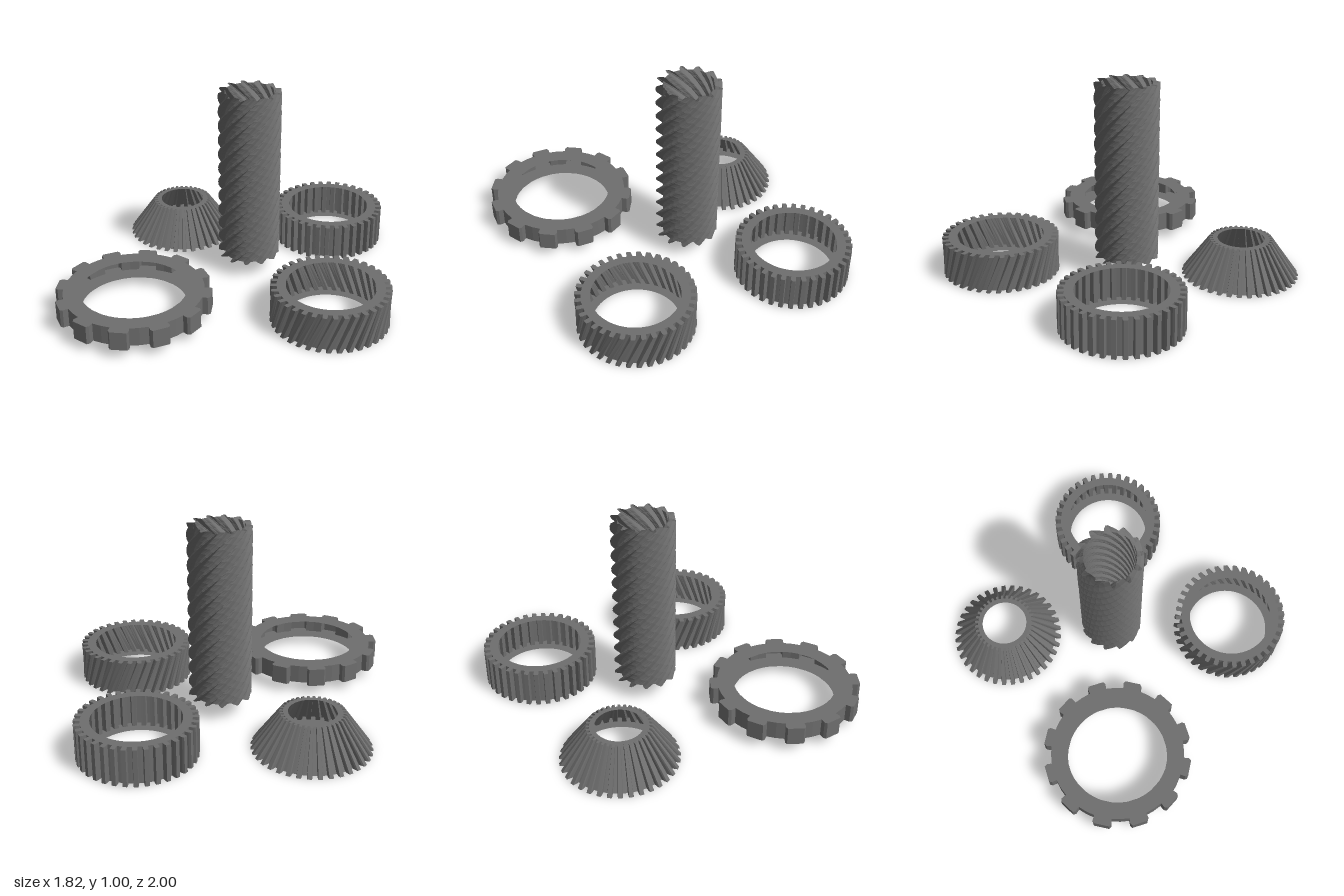
import * as THREE from 'three';

const material = new THREE.MeshStandardMaterial({ color: 0x6e6e6e, flatShading: true, side: THREE.DoubleSide });

// Outline of a toothed wheel as [radius, angle], running counter-clockwise seen from above.
// A tooth is a list of [fraction of the pitch from its middle, radius].
function outline(teeth, tooth) {
  const pitch = (2 * Math.PI) / teeth, points = [];
  for (let k = 0; k < teeth; k++)
    for (const [f, r] of tooth) points.push([r, (k + 0.5 + f) * pitch]);
  return points;
}

// Valley, flank, chamfered tip and flank of one gear tooth
const gearTooth = (root, mid, tip) => [
  [-0.5, root], [-0.25, root], [-0.25, mid], [-0.2, tip],
  [0.2, tip], [0.25, mid], [0.25, root],
];

// Joins the outline through levels { y, scale, twist }; an inner radius adds flat rims.
// The inside stays open, as a thin shell.
function toothedShell(name, points, levels, inner, x, z) {
  const positions = [];
  const at = ([r, a], { y, scale = 1, twist = 0 }) =>
    [r * scale * Math.cos(a + twist), y, -r * scale * Math.sin(a + twist)];
  const quad = (a, b, c, d) => positions.push(...a, ...b, ...c, ...a, ...c, ...d);
  const bottom = levels[0], top = levels[levels.length - 1];
  points.forEach((p, i) => {
    const q = points[(i + 1) % points.length];
    for (let j = 0; j < levels.length - 1; j++)
      quad(at(p, levels[j]), at(q, levels[j]), at(q, levels[j + 1]), at(p, levels[j + 1]));
    if (inner && p[1] !== q[1]) {
      const pi = [inner, p[1]], qi = [inner, q[1]];
      quad(at(pi, top), at(p, top), at(q, top), at(qi, top));
      quad(at(qi, bottom), at(q, bottom), at(p, bottom), at(pi, bottom));
    }
  });
  const geometry = new THREE.BufferGeometry();
  geometry.setAttribute('position', new THREE.Float32BufferAttribute(positions, 3));
  geometry.computeVertexNormals();
  const mesh = new THREE.Mesh(geometry, material);
  mesh.name = name;
  mesh.position.set(x, 0, z);
  return mesh;
}

export function createModel() {
  const group = new THREE.Group();
  group.name = 'gearSet';

  // Three fine-toothed gears share one outline: straight, slanted and conical
  const fine = outline(36, gearTooth(0.264, 0.285, 0.296));
  const height = 0.19;
  group.add(toothedShell('spurGear', fine, [{ y: 0 }, { y: height }], 0.219, -0.028, -0.705));
  group.add(toothedShell('helicalGear', fine,
    [{ y: 0 }, { y: height, twist: THREE.MathUtils.degToRad(15) }], 0.219, 0.613, -0.1));
  group.add(toothedShell('bevelGear', fine,
    [{ y: 0 }, { y: height, scale: 0.54 }], 0.219, -0.613, -0.11));

  // Wide coarse-toothed ring, raised off the ground
  const coarse = outline(12, gearTooth(0.347, 0.374, 0.386));
  group.add(toothedShell('coarseGear', coarse, [{ y: 0.048 }, { y: 0.143 }], 0.263, -0.031, 0.615));

  // Tall worm: an open tube of rows, each turned a little further
  const thread = outline(12, [[-0.5, 0.126], [-0.25, 0.126], [-0.17, 0.145], [-0.06, 0.161],
    [0.06, 0.161], [0.17, 0.145], [0.25, 0.126]]);
  const rows = 32, start = 0.095, levels = [];
  for (let i = 0; i < rows; i++)
    levels.push({
      y: start + (1 - start) * i / (rows - 1),
      twist: i * THREE.MathUtils.degToRad(11.25),
    });
  group.add(toothedShell('wormGear', thread, levels, 0, -0.033, -0.122));

  return group;
}
